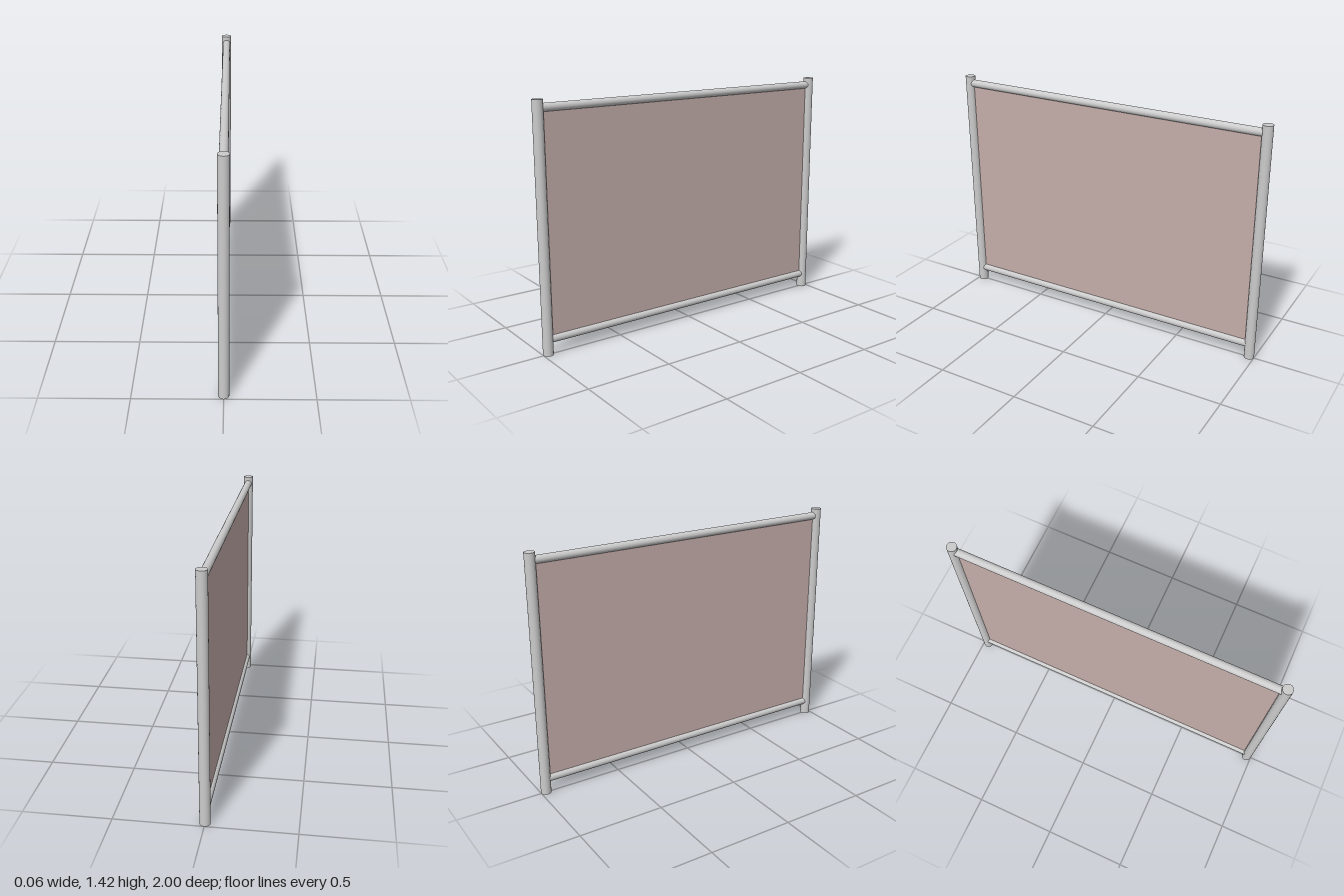
import * as THREE from 'three';

export function createModel() {
  const group = new THREE.Group();
  const grey = new THREE.MeshStandardMaterial({ color: 0xcccccc });
  const tinted = new THREE.MeshStandardMaterial({ color: 0xc4adaa });

  const height = 1.425, postZ = 0.97, railLow = 0.09, railHigh = 1.38;

  const add = (name, geometry, material, y, z) => {
    const mesh = new THREE.Mesh(geometry, material);
    mesh.name = name;
    mesh.position.set(0, y, z);
    group.add(mesh);
    return mesh;
  };

  // Upright posts at both ends
  const postGeometry = new THREE.CylinderGeometry(0.03, 0.03, height, 32);
  add('frontPost', postGeometry, grey, height / 2, postZ);
  add('backPost', postGeometry, grey, height / 2, -postZ);

  // Horizontal rails running into the posts
  const railGeometry = new THREE.CylinderGeometry(0.023, 0.023, postZ * 2, 32).rotateX(Math.PI / 2);
  add('bottomRail', railGeometry, grey, railLow, 0);
  add('topRail', railGeometry, grey, railHigh, 0);

  // Thin infill panel, its edges tucked inside the frame
  add('panel', new THREE.BoxGeometry(0.01, railHigh - railLow, 1.9),
    tinted, (railLow + railHigh) / 2, 0);

  return group;
}
